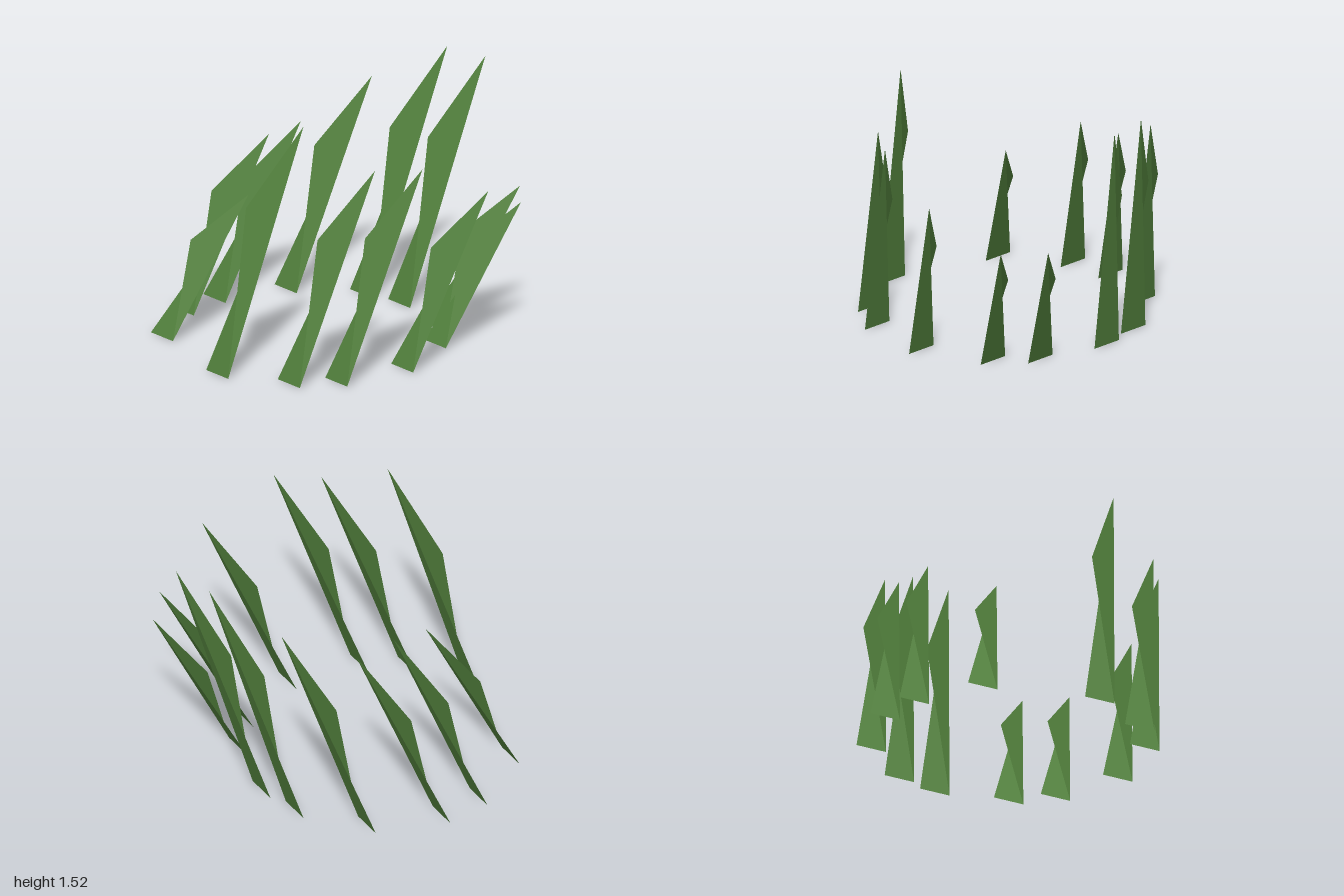
import * as THREE from 'three';

const grassGreen = new THREE.MeshStandardMaterial({ color: 0x55853f, side: THREE.DoubleSide });
grassGreen.name = 'grassGreen';

// Base corner of each blade (x, z) and its height
const blades = [
  [0.168, 0.98, 1.525], [-0.045, -0.59, 1.525], [-0.315, -0.53, 1.525],
  [0.555, 0.765, 1.31], [0.715, 0.54, 1.31], [-0.66, -0.25, 1.31],
  [0.785, 0.097, 1.09], [-0.765, 0.445, 1.09], [-0.804, 0.17, 1.09],
  [0.387, -0.485, 0.87], [0.6, -0.31, 0.87], [-0.518, 0.815, 0.87],
];

// A leaning main triangle with a folded triangle for the bent shoulder
function bladeGeometry(height) {
  const left = [-0.196, 0, 0];
  const right = [0, 0, 0];
  const tip = [0.214, height, -0.391];
  const shoulder = [-0.05, height * 0.655, -0.178];
  const geometry = new THREE.BufferGeometry();
  const corners = [left, right, tip, right, tip, shoulder].flat();
  geometry.setAttribute('position', new THREE.Float32BufferAttribute(corners, 3));
  geometry.computeVertexNormals();
  return geometry;
}

export function createModel() {
  const group = new THREE.Group();
  group.name = 'grassClump';
  blades.forEach(([x, z, height], i) => {
    const blade = new THREE.Mesh(bladeGeometry(height), grassGreen);
    blade.name = `grassBlade${i + 1}`;
    blade.position.set(x, 0, z);
    group.add(blade);
  });
  return group;
}
